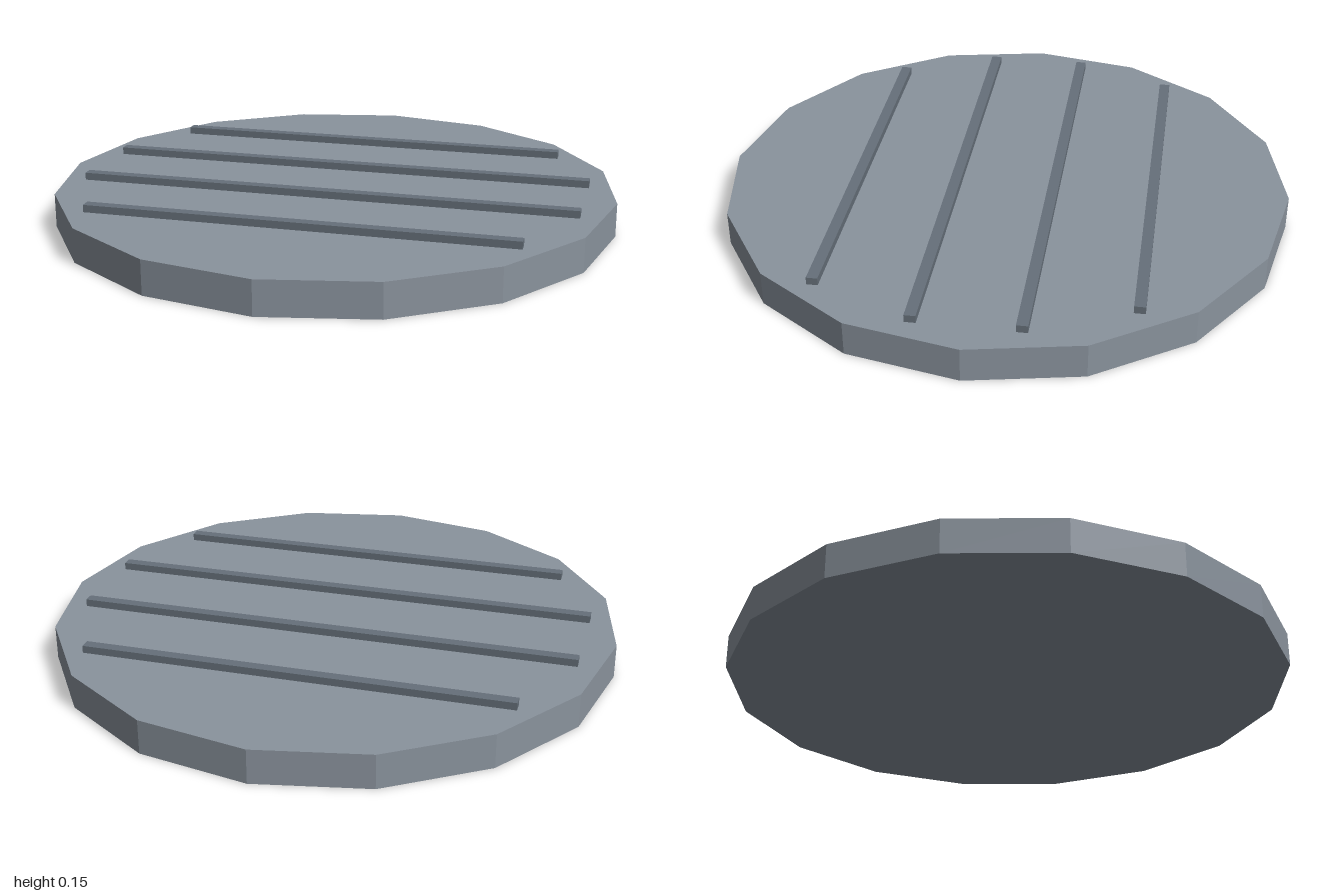
import * as THREE from 'three';

export function createModel() {
  const group = new THREE.Group();
  group.name = 'ribbedDisc';

  const plateGrey = new THREE.MeshStandardMaterial({ color: 0x8a939d, flatShading: true });
  plateGrey.name = 'plate grey';
  const ribGrey = new THREE.MeshStandardMaterial({ color: 0x66707a, flatShading: true });
  ribGrey.name = 'rib grey';

  // Sixteen-sided plate
  const height = 0.12;
  const plate = new THREE.Mesh(new THREE.CylinderGeometry(1, 1, height, 16), plateGrey);
  plate.name = 'plate';
  plate.position.y = height / 2;
  group.add(plate);

  // Raised ribs, the outer pair shorter, sunk slightly into the plate
  const ribTop = 0.146, ribBottom = 0.11;
  for (const [z, length] of [[-0.525, 1.485], [-0.175, 1.78], [0.175, 1.78], [0.525, 1.485]]) {
    const rib = new THREE.Mesh(new THREE.BoxGeometry(length, ribTop - ribBottom, 0.038), ribGrey);
    rib.name = 'rib';
    rib.position.set(0, (ribTop + ribBottom) / 2, z);
    group.add(rib);
  }

  return group;
}
